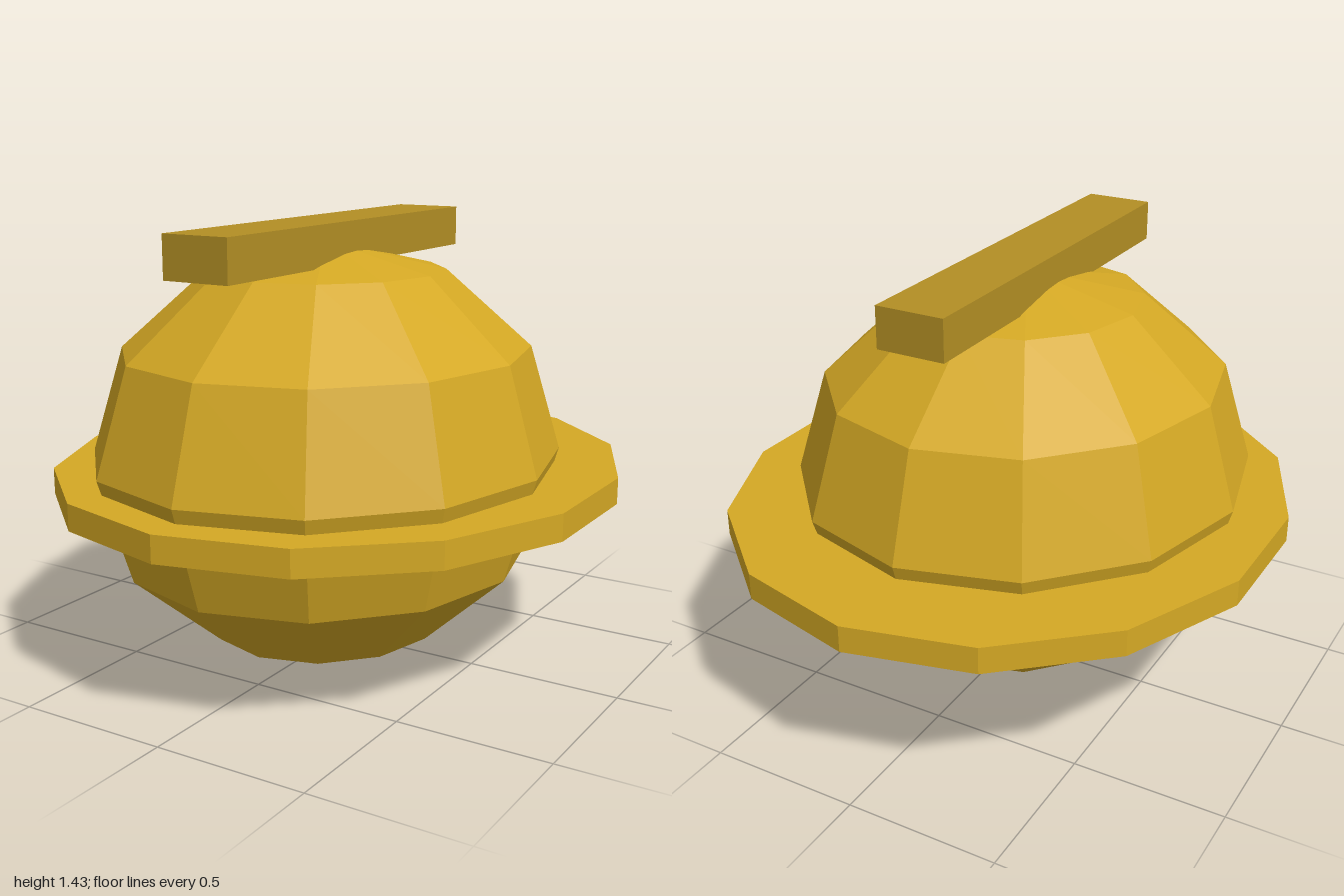
import * as THREE from 'three';

export function createModel() {
  const model = new THREE.Group();
  model.name = 'ringedOrb';

  const gold = new THREE.MeshStandardMaterial({ color: 0xd4a824 });
  gold.name = 'gold';
  gold.flatShading = true;
  const darkGold = new THREE.MeshStandardMaterial({ color: 0xb38f24 });
  darkGold.name = 'dark gold';
  darkGold.flatShading = true;

  const add = (name, geometry, material, x, y, z) => {
    const mesh = new THREE.Mesh(geometry, material);
    mesh.name = name;
    mesh.position.set(x, y, z);
    model.add(mesh);
  };

  // Faceted body, a stretched twelve-sided sphere
  add('body', new THREE.SphereGeometry(1, 12, 6).scale(0.747, 0.682, 0.815), gold, 0, 0.682, 0.09);

  // Flat fourteen-sided rim around the body
  add('rim', new THREE.CylinderGeometry(1, 1, 0.086, 14).scale(0.912, 1, 1), gold, 0, 0.593, 0);

  // Bar resting on the crown, running front to back
  add('topBar', new THREE.BoxGeometry(0.225, 0.132, 1.363), darkGold, 0, 1.366, 0.09);

  return model;
}
